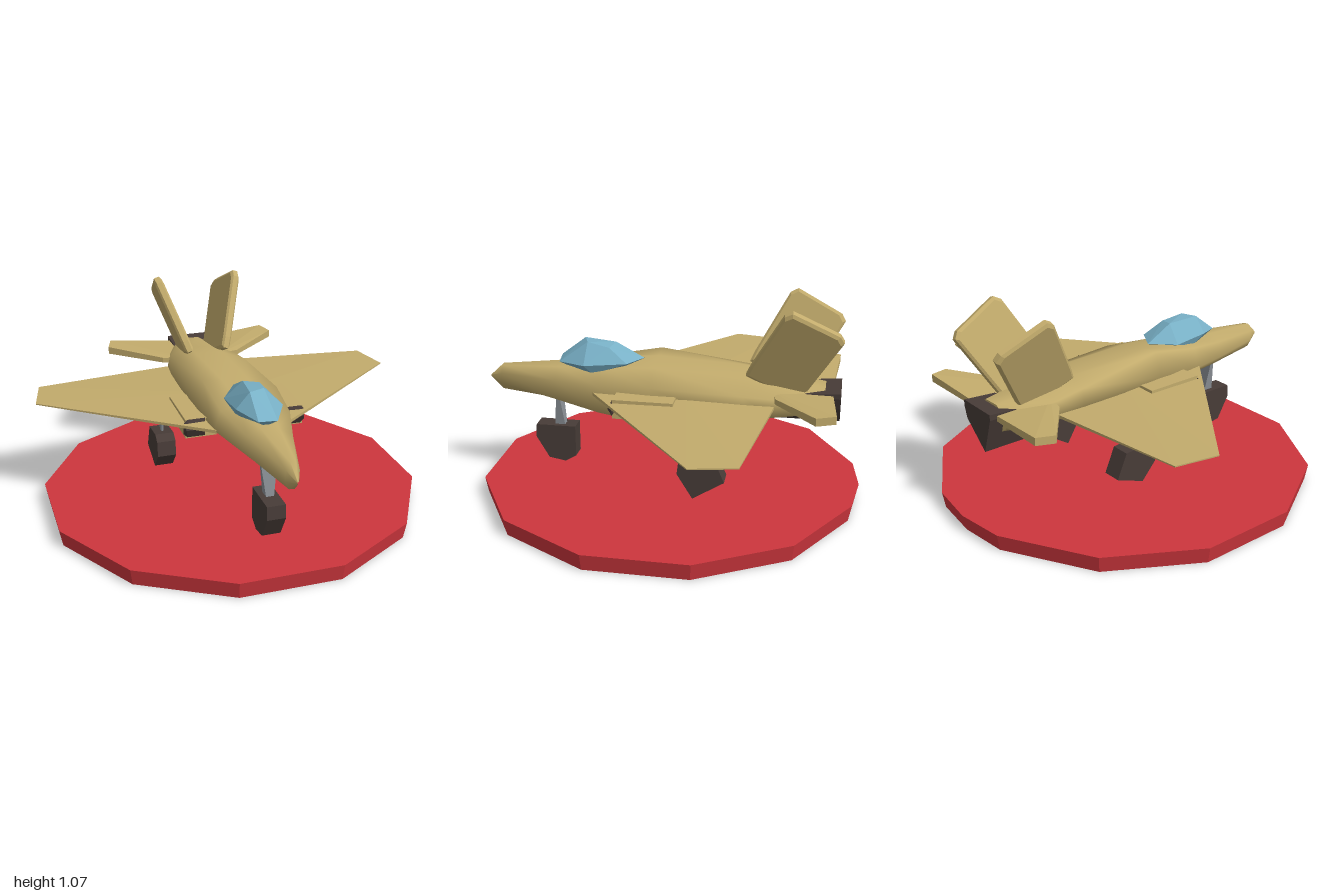
import * as THREE from 'three';
import { ConvexGeometry } from 'three/addons/geometries/ConvexGeometry.js';

const mat = (name, color) => Object.assign(new THREE.MeshStandardMaterial({ color }), { name });

export function createModel() {
  const model = new THREE.Group();
  model.name = 'jetOnStand';
  const tan = mat('sandPaint', 0xc2ab6c);
  const red = mat('redStand', 0xcd363d);
  const dark = mat('darkRubber', 0x483c38);
  const glass = mat('blueGlass', 0x78b0c6);
  const grey = mat('greyMetal', 0x8c9298);

  const add = (name, geometry, material) => {
    const mesh = new THREE.Mesh(geometry, material);
    mesh.name = name;
    model.add(mesh);
    return mesh;
  };
  // Faceted solid around a few corner points
  const hull = (name, points, material) =>
    add(name, new ConvexGeometry(points.map((p) => new THREE.Vector3(...p))), material);
  // Outline in the side plane [z, y], given a width across x
  const sidePrism = (name, outline, x0, x1, material) =>
    hull(name, outline.flatMap(([z, y]) => [[x0, y, z], [x1, y, z]]), material);
  // Flat surface from [x, y, z, half thickness] corners
  const plate = (name, corners, material) =>
    hull(name, corners.flatMap(([x, y, z, t]) => [[x, y + t, z], [x, y - t, z]]), material);

  // Stand: twelve-sided disc, slightly narrower below
  const disc = [];
  for (let i = 0; i < 12; i++) {
    const a = ((i + 0.5) * Math.PI) / 6;
    const x = Math.sin(a), z = Math.cos(a);
    disc.push([x, 0.085, z], [x * 0.985, 0, z * 0.985]);
  }
  disc.push([0, 0.085, -1], [0, 0, -0.98]);
  hull('stand', disc, red);

  // Fuselage: sections blend from round to a skewed polygon amidships
  const skewed = [[1, 0.43], [0.35, 0.8], [-0.3, 0.93], [-0.75, 1],
    [-0.97, 0.2], [-0.4, -0.55], [0.1, -0.75], [0.75, -1]];
  const round = skewed.map((_, i) => {
    const a = ((20 + 45 * i) * Math.PI) / 180;
    return [Math.cos(a) * 1.04, Math.sin(a) * 1.08];
  });
  // z, half width, bottom, top, skew
  const sections = [
    [0.99, 0.003, 0.565, 0.575, 0],
    [0.92, 0.035, 0.505, 0.64, 0],
    [0.6, 0.125, 0.465, 0.67, 0.4],
    [0.36, 0.2, 0.44, 0.695, 0.7],
    [0.08, 0.23, 0.42, 0.725, 1],
    [-0.4, 0.22, 0.45, 0.69, 0.5],
    [-0.55, 0.205, 0.465, 0.67, 0.3],
    [-0.8, 0.12, 0.49, 0.635, 0],
  ];
  const n = skewed.length;
  const pos = [], index = [];
  sections.forEach(([z, w, lo, hi, k], j) => {
    for (let i = 0; i < n; i++) {
      const u = round[i][0] + (skewed[i][0] - round[i][0]) * k;
      const v = round[i][1] + (skewed[i][1] - round[i][1]) * k;
      pos.push(u * w, (lo + hi) / 2 + (v * (hi - lo)) / 2, z);
      if (j < sections.length - 1) {
        const a = j * n + i, b = j * n + ((i + 1) % n);
        index.push(a, a + n, b, b, a + n, b + n);
      }
    }
  });
  // Tail cap with its own corners, so its edge stays sharp
  const cap = pos.length / 3;
  pos.push(...pos.slice(-3 * n));
  for (let i = 1; i < n - 1; i++) index.push(cap, cap + i + 1, cap + i);
  const body = new THREE.BufferGeometry();
  body.setAttribute('position', new THREE.Float32BufferAttribute(pos, 3));
  body.setIndex(index);
  body.computeVertexNormals();
  add('fuselage', body, tan);

  // Cockpit canopy
  hull('canopy', [
    [-0.03, 0.71, 0.15], [0.09, 0.71, 0.22], [0.13, 0.7, 0.44], [0.05, 0.69, 0.59],
    [-0.05, 0.7, 0.6], [-0.12, 0.72, 0.47], [-0.12, 0.7, 0.28],
    [0.03, 0.8, 0.44], [-0.05, 0.8, 0.47], [-0.03, 0.79, 0.3], [0.05, 0.78, 0.32],
    [0, 0.65, 0.55], [0.1, 0.65, 0.4], [-0.1, 0.66, 0.4], [0, 0.66, 0.25],
  ], glass);

  // Engine nozzle: wedge, wide on top and narrow below
  sidePrism('nozzle', [[-0.5, 0.6], [-0.88, 0.625], [-0.88, 0.56]], -0.11, 0.12, dark)
    .geometry = new ConvexGeometry([-0.46, -0.88].flatMap((z) => [
      new THREE.Vector3(-0.11, 0.6, z), new THREE.Vector3(0.12, 0.6, z),
      new THREE.Vector3(-0.11, z < -0.5 ? 0.63 : 0.6, z), new THREE.Vector3(0.12, z < -0.5 ? 0.63 : 0.6, z),
      new THREE.Vector3(0.1, 0.54, z), new THREE.Vector3(-0.05, 0.415, z),
    ]));

  for (const s of [1, -1]) {
    const side = s > 0 ? 'left' : 'right';

    // Main wing, thinning towards the tip
    plate(side + 'Wing', [
      [s * 0.1, 0.57, 0.44, 0.008], [s * 0.21, 0.57, 0.36, 0.008],
      [s * 0.15, 0.565, -0.1, 0.018], [s * 0.1, 0.56, -0.56, 0.008],
      [s * 0.22, 0.56, -0.55, 0.008], [s * 0.98, 0.565, -0.24, 0.003], [s * 0.935, 0.565, -0.463, 0.003],
    ], tan);

    // Tailplane
    plate(side + 'Tailplane', [
      [s * 0.1, 0.605, -0.53, 0.014], [s * 0.22, 0.605, -0.56, 0.014],
      [s * 0.49, 0.62, -0.77, 0.02], [s * 0.46, 0.625, -0.865, 0.02], [s * 0.1, 0.6, -0.84, 0.014],
    ], tan);

    // Canted fin with chamfered edges
    const finPoints = [];
    const tilt = Math.atan(0.34);
    for (const [z, y] of [[-0.4, 0.7], [-0.425, 0.755], [-0.59, 1.05], [-0.63, 1.07],
      [-0.86, 0.955], [-0.88, 0.92], [-0.67, 0.56]]) {
      for (const [t, k] of [[0.014, 1], [0.024, 0.93]]) {
        for (const d of [t, -t]) {
          const yy = 0.82 + (y - 0.82) * k, zz = -0.64 + (z + 0.64) * k;
          finPoints.push([s * (0.1 + 0.34 * (yy - 0.69) + d * Math.cos(tilt)), yy - d * Math.sin(tilt), zz]);
        }
      }
    }
    hull(side + 'Fin', finPoints, tan);

    // Air intake duct and its dark mouth ring
    sidePrism(side + 'Intake', [[0.25, 0.495], [0.25, 0.595], [-0.06, 0.595], [-0.06, 0.495]],
      s * 0.15, s * 0.31, tan);
    hull(side + 'IntakeMouth', [
      [s * 0.21, 0.5, 0.25], [s * 0.21, 0.595, 0.25], [s * 0.3, 0.5, 0.25], [s * 0.3, 0.595, 0.25],
      [s * 0.32, 0.52, 0.25], [s * 0.32, 0.575, 0.25],
      [s * 0.22, 0.545, 0.272], [s * 0.31, 0.545, 0.272], [s * 0.22, 0.545, 0.23], [s * 0.31, 0.545, 0.23],
    ], dark);

    // Main wheel and strut
    const x = s > 0 ? 0.315 : -0.325;
    sidePrism(side + 'MainWheel', [[-0.14, 0.35], [-0.275, 0.34], [-0.33, 0.21],
      [-0.17, s > 0 ? 0.11 : 0.15], [-0.09, 0.24], [-0.1, 0.32]], x - 0.05, x + 0.05, dark);
    const half = s > 0 ? 0.045 : 0.006;
    sidePrism(side + 'MainStrut', [[-0.15, 0.55], [-0.24, 0.55], [-0.215, 0.32], [-0.185, 0.32]],
      x - half, x + half, grey);
  }

  // Nose wheel and strut
  sidePrism('noseWheel', [[0.735, 0.32], [0.52, 0.32], [0.52, 0.15], [0.58, 0.115],
    [0.67, 0.13], [0.74, 0.25]], -0.05, 0.045, dark);
  hull('noseStrut', [
    [-0.045, 0.5, 0.605], [0.04, 0.5, 0.605], [-0.045, 0.5, 0.62], [0.04, 0.5, 0.62],
    [-0.018, 0.3, 0.58], [0.018, 0.3, 0.58], [-0.018, 0.3, 0.64], [0.018, 0.3, 0.64],
  ], grey);

  return model;
}
